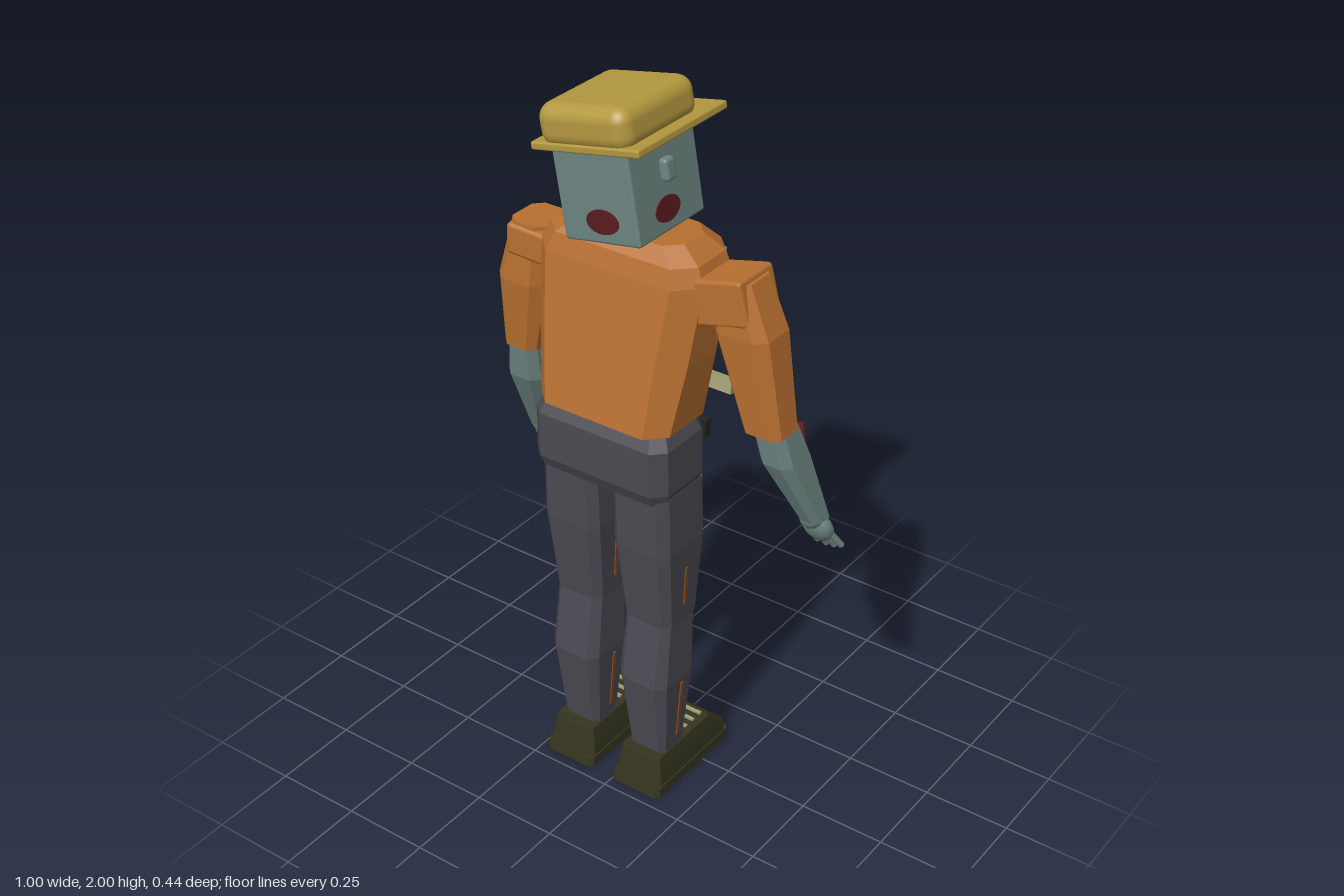
import * as THREE from 'three';
import { RoundedBoxGeometry } from 'three/addons/geometries/RoundedBoxGeometry.js';

const mat = (name, color) => {
  const m = new THREE.MeshStandardMaterial({ color });
  m.name = name;
  return m;
};
const M = {
  skin: mat('grey green skin', 0x6c8480),
  shirt: mat('orange cloth', 0xb87030),
  trousers: mat('charcoal cloth', 0x4b4a52),
  hat: mat('mustard', 0xb3983f),
  shoe: mat('dark olive', 0x35351f),
  strap: mat('pale strap', 0xa09f72),
  wound: mat('dark red', 0x5a1b20),
  tear: mat('rust brown', 0x85491f),
  dark: mat('black leather', 0x23241f),
};

function add(parent, name, geo, material, p = [0, 0, 0], r = [0, 0, 0]) {
  const m = new THREE.Mesh(geo, material);
  m.name = name;
  m.position.set(...p);
  m.rotation.set(...r);
  parent.add(m);
  return m;
}
const box = (parent, name, material, size, p, r) =>
  add(parent, name, new THREE.BoxGeometry(...size), material, p, r);

function group(parent, name, p = [0, 0, 0], r = [0, 0, 0]) {
  const g = new THREE.Group();
  g.name = name;
  g.position.set(...p);
  g.rotation.set(...r);
  parent.add(g);
  return g;
}

// Faceted solid from chamfered rectangles, bottom to top: [y, x0, x1, z0, z1, chamfer]
function loft(sections) {
  const rings = sections.map(([y, x0, x1, z0, z1, c]) => [
    [x1, z0 + c], [x1, z1 - c], [x1 - c, z1], [x0 + c, z1],
    [x0, z1 - c], [x0, z0 + c], [x0 + c, z0], [x1 - c, z0],
  ].map(([x, z]) => [x, y, z]));
  const pos = [];
  const tri = (...pts) => pts.forEach((p) => pos.push(...p));
  for (let k = 0; k < rings.length - 1; k++) {
    const a = rings[k], b = rings[k + 1];
    for (let i = 0; i < 8; i++) {
      const j = (i + 1) % 8;
      tri(a[i], b[i], a[j]);
      tri(a[j], b[i], b[j]);
    }
  }
  const bot = rings[0], top = rings[rings.length - 1];
  for (let i = 1; i < 7; i++) {
    tri(bot[0], bot[i], bot[i + 1]);
    tri(top[0], top[i + 1], top[i]);
  }
  const g = new THREE.BufferGeometry();
  g.setAttribute('position', new THREE.Float32BufferAttribute(pos, 3));
  g.computeVertexNormals();
  return g;
}

function buildHead(root) {
  const head = group(root, 'head', [-0.085, 1.76, 0.003], [0, 0, 0.17]);
  add(head, 'skull', new RoundedBoxGeometry(0.235, 0.26, 0.275, 2, 0.008), M.skin);
  const spot = new THREE.CylinderGeometry(0.05, 0.05, 0.006, 20).rotateX(Math.PI / 2).scale(1, 0.66, 1);
  add(head, 'backWound', spot, M.wound, [0.012, -0.07, 0.138]);
  add(head, 'mouth', spot, M.wound, [0, -0.075, -0.138]);
  box(head, 'mouthGap', M.dark, [0.05, 0.01, 0.008], [0, -0.075, -0.139]);
  box(head, 'chinWound', M.wound, [0.1, 0.005, 0.06], [0.03, -0.13, -0.09]);
  for (const s of [-1, 1]) {
    add(head, 'cheekWound', spot, M.wound, [s * 0.118, -0.07, 0.012], [0, Math.PI / 2, 0]);
    add(head, 'ear', new RoundedBoxGeometry(0.03, 0.06, 0.04, 2, 0.01), M.skin, [s * 0.125, 0.03, 0]);
    box(head, 'eye', M.dark, [0.045, 0.012, 0.006], [s * 0.055, 0.03, -0.139]);
    box(head, 'brow', M.skin, [0.06, 0.012, 0.02], [s * 0.055, 0.055, -0.14], [0, 0, s * 0.15]);
  }
  add(head, 'nose', new RoundedBoxGeometry(0.03, 0.06, 0.03, 2, 0.008), M.skin, [0, -0.005, -0.145]);
  // Hat
  const hat = group(head, 'hat', [0, 0.12, 0], [0, 0, 0.02]);
  add(hat, 'brim', new RoundedBoxGeometry(0.335, 0.022, 0.375, 2, 0.006), M.hat, [0, 0, -0.033]);
  add(hat, 'crown', new RoundedBoxGeometry(0.28, 0.115, 0.312, 5, 0.042), M.hat, [-0.003, 0.05, 0]);
}

function buildTorso(root) {
  add(root, 'shirt', loft([
    [1.165, -0.25, 0.16, -0.03, 0.217, 0.05],
    [1.35, -0.285, 0.18, -0.068, 0.18, 0.06],
    [1.56, -0.31, 0.195, -0.11, 0.135, 0.06],
    [1.61, -0.28, 0.175, -0.1, 0.12, 0.05],
    [1.65, -0.22, 0.12, -0.07, 0.092, 0.04],
  ]), M.shirt);
  // Chest details lie on the leaning front face
  const chest = group(root, 'chestDetails', [0, 1.165, -0.03], [-0.2, 0, 0]);
  for (const x of [0.105, -0.225])
    box(chest, 'shoulderStrap', M.strap, [0.036, 0.37, 0.018], [x, 0.23, -0.01]);
  box(chest, 'crossStrap', M.strap, [0.49, 0.04, 0.02], [-0.045, 0.06, -0.016]);
  const patches = [
    [M.wound, -0.01, 0.25, 0.19, 0.21], [M.wound, -0.165, 0.345, 0.075, 0.08],
    [M.wound, -0.12, 0.17, 0.09, 0.09], [M.shirt, -0.05, 0.2, 0.06, 0.04, 0.4],
    [M.tear, -0.01, 0.31, 0.03, 0.06, 0.3], [M.tear, -0.1, 0.23, 0.035, 0.07, -0.2],
    [M.tear, -0.14, 0.14, 0.04, 0.035, 0.3],
  ];
  patches.forEach(([m, x, y, w, h, a = 0], i) =>
    box(chest, 'chestPatch', m, [w, h, 0.007], [x, y, -0.002 - 0.001 * i], [0, 0, a]));
  // Hips and belt
  add(root, 'hips', loft([
    [0.965, -0.245, 0.16, 0.012, 0.205, 0.03],
    [1.0, -0.255, 0.17, 0, 0.22, 0.035],
    [1.13, -0.253, 0.168, 0, 0.22, 0.035],
    [1.17, -0.235, 0.15, 0.02, 0.2, 0.03],
  ]), M.trousers);
  box(root, 'belt', M.dark, [0.4, 0.05, 0.025], [-0.043, 1.105, -0.008]);
  box(root, 'buckle', M.skin, [0.06, 0.045, 0.012], [-0.043, 1.105, -0.022]);
}

function buildLeg(root, cx, name) {
  const leg = group(root, name, [cx, 0, 0]);
  add(leg, 'thigh', loft([
    [0.55, -0.076, 0.076, 0.02, 0.165, 0.02],
    [0.8, -0.09, 0.09, 0, 0.197, 0.025],
    [0.98, -0.088, 0.088, 0.002, 0.2, 0.025],
  ]), M.trousers);
  add(leg, 'shin', loft([
    [0.1, -0.058, 0.058, 0.058, 0.16, 0.015],
    [0.36, -0.078, 0.078, 0.03, 0.195, 0.025],
    [0.55, -0.073, 0.073, 0.022, 0.165, 0.02],
  ]), M.trousers);
  box(leg, 'pocket', M.trousers, [0.1, 0.12, 0.025], [0, 0.85, -0.008]);
  box(leg, 'pocketTrim', M.tear, [0.1, 0.018, 0.03], [0, 0.915, -0.01]);
  box(leg, 'thighWound', M.wound, [0.08, 0.13, 0.007], [0, 0.715, 0.006], [-0.08, 0, 0]);
  box(leg, 'thighTear', M.tear, [0.004, 0.12, 0.01], [0.085, 0.665, 0.095], [0, 0, -0.05]);
  box(leg, 'shinTear', M.tear, [0.004, 0.19, 0.01], [0.071, 0.245, 0.1], [0, 0, -0.08]);
  if (cx > 0) box(leg, 'kneeTear', M.tear, [0.045, 0.07, 0.006], [0, 0.38, 0.029]);
  else box(leg, 'kneeCrease', M.dark, [0.08, 0.008, 0.005], [0, 0.4, 0.027], [0, 0, 0.2]);
  // Shoe
  add(leg, 'sole', loft([
    [0, -0.081, 0.081, -0.13, 0.218, 0.012],
    [0.03, -0.08, 0.08, -0.135, 0.215, 0.012],
  ]), M.shoe);
  add(leg, 'shoe', loft([
    [0.025, -0.077, 0.077, -0.131, 0.21, 0.015],
    [0.06, -0.073, 0.073, -0.127, 0.205, 0.015],
    [0.115, -0.063, 0.063, -0.065, 0.198, 0.015],
  ]), M.shoe);
  for (let i = 0; i < 3; i++)
    box(leg, 'lace', M.strap, [0.085, 0.008, 0.01], [0, 0.117, -0.045 + i * 0.035]);
}

function buildHand(arm, side, p, rz) {
  const hand = group(arm, 'hand', p, [0.42, 0, rz]);
  add(hand, 'palm', new THREE.SphereGeometry(0.045, 14, 10).scale(1, 1.1, 0.65), M.skin);
  add(hand, 'wrist', new THREE.SphereGeometry(0.036, 12, 8), M.skin, [0, 0.045, 0]);
  for (let i = 0; i < 4; i++) {
    const k = i - 1.5;
    add(hand, 'finger', new THREE.CapsuleGeometry(0.0095, 0.045, 3, 8), M.skin,
      [k * 0.023, -0.062 + Math.abs(k) * 0.007, -0.005], [0.1, 0, k * 0.12]);
  }
  add(hand, 'thumb', new THREE.CapsuleGeometry(0.012, 0.04, 3, 8), M.skin,
    [-side * 0.052, -0.01, -0.01], [0.2, 0, -side * 0.5]);
}

function buildArms(root) {
  const left = group(root, 'leftArm');
  add(left, 'shoulder', new RoundedBoxGeometry(0.17, 0.125, 0.15, 1, 0.012), M.shirt, [0.24, 1.535, 0.014], [0, 0, 0.25]);
  add(left, 'sleeve', loft([
    [1.19, 0.305, 0.42, -0.042, 0.07, 0.02],
    [1.46, 0.215, 0.378, -0.062, 0.088, 0.03],
    [1.6, 0.225, 0.32, -0.05, 0.08, 0.025],
  ]), M.shirt);
  add(left, 'forearm', loft([
    [0.9, 0.405, 0.475, -0.125, -0.05, 0.018],
    [1.1, 0.338, 0.438, -0.085, 0.045, 0.025],
    [1.24, 0.312, 0.41, -0.035, 0.06, 0.02],
  ]), M.skin);
  buildHand(left, 1, [0.44, 0.855, -0.11], 0.2);

  const right = group(root, 'rightArm');
  add(right, 'shoulder', new RoundedBoxGeometry(0.16, 0.09, 0.15, 1, 0.012), M.shirt, [-0.34, 1.52, 0.014], [0, 0, -0.04]);
  add(right, 'sleeve', loft([
    [1.19, -0.465, -0.36, -0.042, 0.07, 0.02],
    [1.4, -0.468, -0.315, -0.062, 0.09, 0.03],
    [1.575, -0.42, -0.305, -0.05, 0.08, 0.025],
  ]), M.shirt);
  add(right, 'forearm', loft([
    [0.87, -0.485, -0.415, -0.125, -0.05, 0.018],
    [1.08, -0.482, -0.37, -0.085, 0.045, 0.025],
    [1.22, -0.46, -0.368, -0.035, 0.06, 0.02],
  ]), M.skin);
  buildHand(right, -1, [-0.455, 0.825, -0.11], 0);

  // Wounds and torn cloth on the front of each arm
  box(left, 'forearmWound', M.wound, [0.045, 0.12, 0.008], [0.385, 1.1, -0.083], [-0.25, 0, 0.28]);
  box(right, 'forearmWound', M.wound, [0.05, 0.1, 0.008], [-0.43, 1.07, -0.086], [0.22, 0, 0]);
  box(left, 'sleeveTear', M.tear, [0.04, 0.08, 0.007], [0.305, 1.43, -0.06], [0, 0, 0.3]);
  box(left, 'sleeveHole', M.dark, [0.02, 0.03, 0.008], [0.305, 1.43, -0.062], [0, 0, 0.3]);
  box(right, 'sleeveTear', M.tear, [0.025, 0.05, 0.007], [-0.4, 1.37, -0.06]);
}

export function createModel() {
  const root = new THREE.Group();
  root.name = 'figure';
  buildTorso(root);
  buildHead(root);
  buildArms(root);
  buildLeg(root, -0.152, 'rightLeg');
  buildLeg(root, 0.078, 'leftLeg');
  return root;
}
